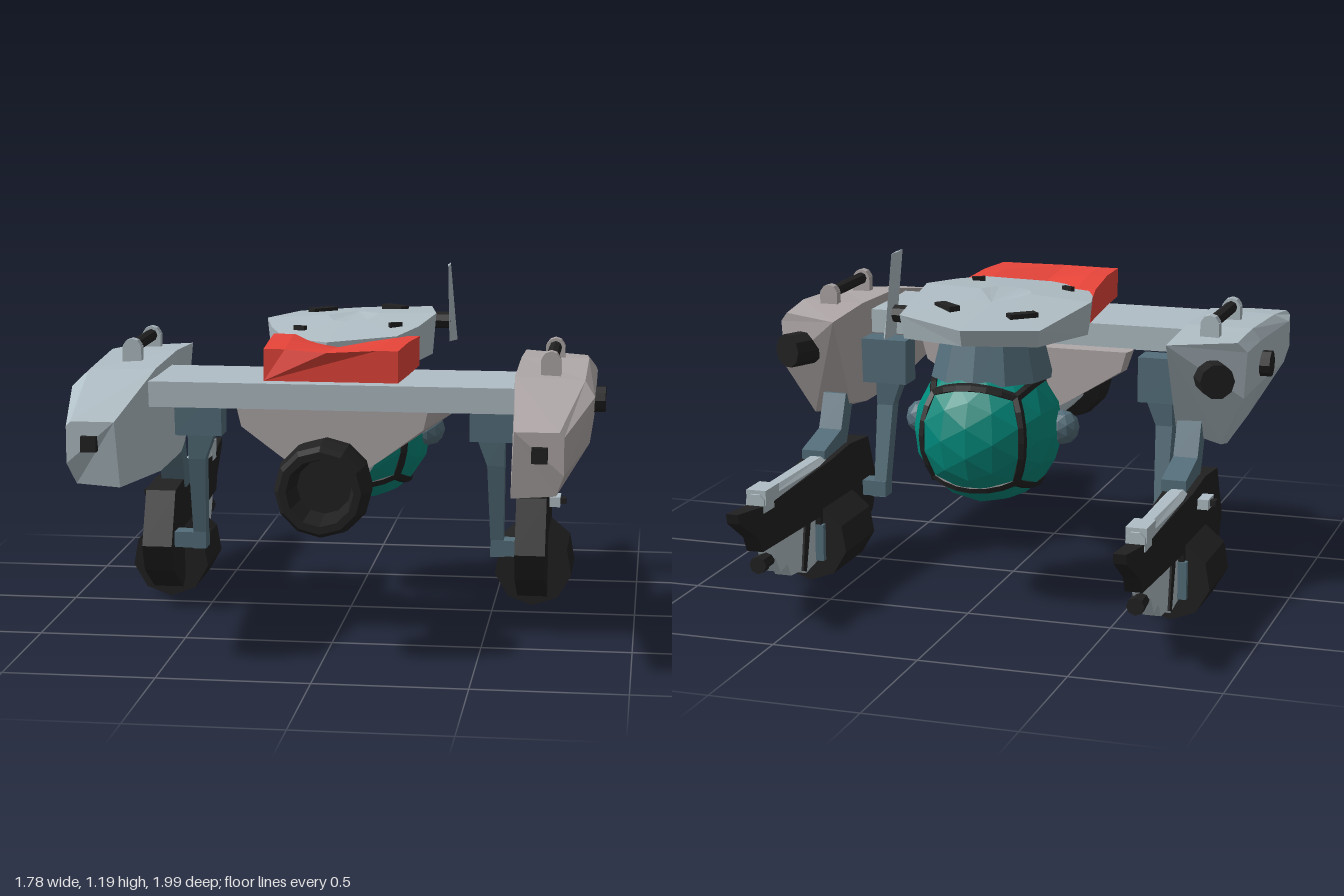
import * as THREE from 'three';

const mat = (color, side = THREE.FrontSide) =>
  new THREE.MeshStandardMaterial({ color, flatShading: true, side });

const M = {
  light: mat(0xb0bec5), warm: mat(0xb0a8a8), dark: mat(0x212121), slate: mat(0x546e7a),
  teal: mat(0x00897b), red: mat(0xe8453a), darkOpen: mat(0x212121, THREE.DoubleSide),
};

function add(parent, name, geo, material, x = 0, y = 0, z = 0) {
  const m = new THREE.Mesh(geo, material);
  m.name = name;
  m.position.set(x, y, z);
  parent.add(m);
  return m;
}
const box = (w, h, d) => new THREE.BoxGeometry(w, h, d);
const rod = (r, len, sides = 8, r2 = r) => new THREE.CylinderGeometry(r2, r, len, sides);
const rodX = (r, len, sides = 8) => rod(r, len, sides).rotateZ(Math.PI / 2);
const rodZ = (r, len, sides = 8, r2 = r) => rod(r, len, sides, r2).rotateX(Math.PI / 2);

// Skin a row of equal-length closed sections, cap both ends, face outward
function loft(sections) {
  const n = sections[0].length, pos = sections.flat(2), tri = [];
  for (let s = 0; s < sections.length - 1; s++)
    for (let i = 0; i < n; i++) {
      const a = s * n + i, b = s * n + (i + 1) % n;
      tri.push([a, b, b + n], [a, b + n, a + n]);
    }
  const last = (sections.length - 1) * n;
  for (let i = 1; i < n - 1; i++) tri.push([0, i + 1, i], [last, last + i, last + i + 1]);
  const v = (i) => new THREE.Vector3().fromArray(pos, i * 3);
  let volume = 0;
  for (const [a, b, c] of tri) volume += v(a).dot(v(b).cross(v(c)));
  if (volume < 0) tri.forEach((t) => t.reverse());
  const g = new THREE.BufferGeometry();
  g.setAttribute('position', new THREE.Float32BufferAttribute(pos, 3));
  g.setIndex(tri.flat());
  g.computeVertexNormals();
  return g;
}

// Extrude a [z, y] outline across x, optionally narrowing toward the rear
function slab(outline, width, taper) {
  const shape = new THREE.Shape(outline.map(([z, y]) => new THREE.Vector2(z, y)));
  const g = new THREE.ExtrudeGeometry(shape, { depth: width, bevelEnabled: false });
  g.translate(0, 0, -width / 2).rotateY(-Math.PI / 2);
  if (taper) {
    const p = g.attributes.position;
    for (let i = 0; i < p.count; i++) p.setX(i, p.getX(i) * taper(p.getZ(i)));
    g.computeVertexNormals();
  }
  return g;
}

// Side pod with handle and knobs
function sidePod(s) {
  const g = new THREE.Group();
  g.name = s > 0 ? 'leftPod' : 'rightPod';
  const body = s > 0 ? M.warm : M.light;
  const sections = [
    [[.60, .905, -.19], [.82, .905, -.08], [.85, .87, -.06], [.84, .71, -.06], [.75, .53, 0], [.60, .58, -.03]],
    [[.60, .92, .1], [.83, .92, .1], [.86, .88, .1], [.85, .72, .1], [.75, .51, .1], [.59, .56, .1]],
    [[.60, .91, .46], [.83, .90, .46], [.865, .86, .55], [.85, .71, .55], [.75, .535, .45], [.59, .56, .45]],
    [[.63, .815, .97], [.77, .815, .97], [.785, .80, .97], [.785, .68, .97], [.76, .61, .94], [.62, .60, .94]],
  ];
  add(g, 'podBody', loft(sections.map((q) => q.map(([x, y, z]) => [x * s, y, z]))), body);
  add(g, 'frontSensor', box(.05, .05, .04), M.dark, .71 * s, .745, .97);
  add(g, 'sideKnob', rodX(.045, .08, 10), M.dark, .85 * s, .79, .155);
  const knob = add(g, 'rearKnob', rodX(.06, .12, 10), M.dark, .75 * s, .79, -.13);
  knob.rotation.y = s > 0 ? 1.1 : Math.PI - 1.1;
  // grab handle
  const zc = s > 0 ? .235 : .13;
  add(g, 'handleBar', rodZ(.022, .32), M.dark, .715 * s, .955, zc);
  for (const e of [-1, 1]) {
    add(g, 'handlePost', box(.065, .06, .035), body, .715 * s, .93, zc + e * .16);
    add(g, 'handlePostCap', rodZ(.032, .035, 10), body, .715 * s, .955, zc + e * .16);
  }
  if (s < 0) g.position.z = -.015;
  return g;
}

// Strut block, front strut and rear arm carrying the gun
function legs(s) {
  const g = new THREE.Group();
  g.name = s > 0 ? 'leftStruts' : 'rightStruts';
  add(g, 'strutBlock', box(.18, .16, .1), M.slate, .52 * s, .715, .125);
  const ring = (x0, x1, y, z0, z1) =>
    [[x0 * s, y, z0], [x1 * s, y, z0], [x1 * s, y, z1], [x0 * s, y, z1]];
  add(g, 'frontStrut', loft([ring(.45, .55, .66, .09, .17), ring(.49, .55, .55, .1, .16),
    ring(.5, .545, .28, .05, .11), ring(.5, .55, .22, .04, .11)]), M.slate);
  add(g, 'strutFoot', box(.13, .055, .07), M.slate, .565 * s, .25, .075);
  const arm = [[.02, .62], [-.06, .62], [-.11, .50], [-.27, .46], [-.27, .40], [-.08, .40], [-.04, .48]];
  add(g, 'rearArm', slab(arm, .085), M.slate, .65 * s, 0, 0);
  return g;
}

// Gun slung under a pod, local x = 0 at its centre plane
function gun(s) {
  const g = new THREE.Group();
  g.name = s > 0 ? 'leftGun' : 'rightGun';
  const taper = (z) => (z > -.3 ? 1 : THREE.MathUtils.lerp(1, .4, (-.3 - z) / .69));
  const body = [[.10, .42], [.18, .235], [.14, .14], [-.02, .045], [-.06, .07], [-.34, .10], [-.36, .24],
    [-.81, .24], [-.84, .295], [-.975, .38], [-.985, .415], [-.76, .39], [-.25, .42], [-.08, .435]];
  add(g, 'gunBody', slab(body, .105, taper), M.dark);
  const mech = [[-.33, .26], [-.34, .075], [-.45, .06], [-.52, .085], [-.58, .09], [-.61, .14],
    [-.67, .13], [-.71, .19], [-.74, .26]];
  add(g, 'lowerMechanism', slab(mech, .06), M.light);
  add(g, 'mechanismStrap', slab([[-.41, .26], [-.46, .26], [-.49, .08], [-.46, .07]], .075), M.dark);
  add(g, 'topRail', loft([[-.26, .04], [-.8, .032]].map(([z, w]) =>
    [[-w, .37, z], [w, .37, z], [w, .415, z], [w * .5, .432, z], [-w * .5, .432, z], [-w, .415, z]])), M.light);
  add(g, 'rearSight', box(.07, .05, .11), M.light, 0, .42, -.735);
  add(g, 'muzzle', rodZ(.025, .12), M.dark, 0, .185, -.73);
  add(g, 'muzzleRing', rodZ(.03, .04), M.dark, 0, .185, -.77);
  const drum = rod(.137, .275, 9).rotateX(Math.PI / 2);
  add(g, 'drum', drum, M.dark, 0, .137, -.2);
  add(g, 'drumBackPlate', box(.12, .13, .03), M.slate, 0, .145, -.345);
  add(g, 'sideBracket', box(.05, .035, .08), M.light, .065 * s, .365, -.15);
  add(g, 'bracketPin', box(.05, .02, .03), M.dark, .085 * s, .365, -.15);
  g.position.set(s > 0 ? .64 : -.665, s > 0 ? .008 : 0, s > 0 ? 0 : -.015);
  return g;
}

export function createModel() {
  const model = new THREE.Group();
  model.name = 'hoverDrone';
  for (const s of [-1, 1]) model.add(sidePod(s), legs(s), gun(s));

  // Cross beam and hull slung beneath it
  add(model, 'crossBeam', box(1.21, .085, .37), M.light, 0, .84, .365);
  const hull = [[.39, .80], [.37, .73], [.19, .62], [.1, .57]];
  const half = (k, z) => [...hull.map(([x, y]) => [x * k, y, z]),
    ...hull.slice().reverse().map(([x, y]) => [-x * k, y, z])];
  add(model, 'hull', loft([half(.97, .11), half(1, .15), half(.82, .5)]), M.warm);

  // Forward barrel
  add(model, 'barrelSleeve', rodZ(.1, .55, 12), M.light, 0, .57, .345);
  const profile = [[.09, .57], [.15, .61], [.16, .70], [.15, .77], [.135, .795], [.11, .795], [.09, .68], [0, .68]]
    .map(([r, z]) => new THREE.Vector2(r, z));
  add(model, 'barrel', new THREE.LatheGeometry(profile, 12).rotateX(Math.PI / 2), M.darkOpen, 0, .57, 0);

  // Rear ball with bands along the edges of an inscribed cube
  const ball = new THREE.Group();
  ball.name = 'ball';
  ball.position.set(0, .595, -.275);
  model.add(ball);
  add(ball, 'ballShell', new THREE.IcosahedronGeometry(.255, 2), M.teal);
  const arc = Math.acos(1 / 3);
  for (let axis = 0; axis < 3; axis++)
    for (const a of [-1, 1]) for (const b of [-1, 1]) {
      const mid = new THREE.Vector3(), along = new THREE.Vector3();
      mid.setComponent((axis + 1) % 3, a).setComponent((axis + 2) % 3, b).normalize();
      along.setComponent(axis, 1);
      const band = new THREE.TorusGeometry(.245, .018, 6, 6, arc).rotateZ(-arc / 2);
      band.applyMatrix4(new THREE.Matrix4().makeBasis(mid, along, mid.clone().cross(along)));
      add(ball, 'ballBand', band, M.dark);
    }
  for (const s of [-1, 1]) add(ball, 'ballPivot', new THREE.IcosahedronGeometry(.06, 1), M.slate, .25 * s, .01, .04);
  add(model, 'neck', rod(.21, .16, 12, .17), M.slate, 0, .855, -.235);

  // Top plate, gently ridged
  const topY = (x, z) => 1.03 + .05 * x - (z < -.1 ? (-.1 - z) * .07 : (z + .1) * .08);
  const outline = [[-.01, -.6], [.235, -.5], [.29, -.08], [.25, .13], [.19, .28], [-.04, .34],
    [-.195, .25], [-.27, .06], [-.31, -.1], [-.25, -.5]];
  const lower = outline.map(([x, z]) => [x * .96, .9 + Math.max(0, -.1 - z) * .08, z * .97]);
  const upper = outline.map(([x, z]) => [x, topY(x, z), z]);
  const crown = outline.map(([x, z]) => [x * .3, topY(x * .3, z * .3 - .07) + .004, z * .3 - .07]);
  add(model, 'topPlate', loft([lower, upper, crown]), M.light);
  for (const [x, z, w, turn] of [[-.15, -.37, .1, .7], [.115, -.365, .1, -.7], [-.16, .13, .045, -.5], [.17, .13, .045, .5]]) {
    const slot = add(model, 'plateSlot', box(w, .02, w * .4), M.dark, x, topY(x, z) + .006, z);
    slot.rotation.y = turn;
  }

  // Red nose with a dished top
  const nose = (z, w0, w1, yEdge, yMid, zMid) => [[w0, .9, z], [w1, .9, z], [w1, yEdge, z],
    [w1 - .07, yEdge, z], [0, yMid, zMid], [w0 + .07, yEdge, z], [w0, yEdge, z]];
  add(model, 'nose', loft([nose(.1, -.25, .25, .97, .95, .1), nose(.2, -.24, .26, 1.0, .965, .22),
    nose(.42, -.22, .245, 1.01, .985, .42), nose(.6, -.21, .23, 1.005, 1.0, .635)]), M.red);

  // Tail fin on one side
  const fin = (y, z, w, x) => [[x, y, z + .055], [x + w, y, z], [x, y, z - .055], [x - .005, y, z]];
  add(model, 'tailFin', loft([fin(.91, -.375, .025, .315), fin(.97, -.36, .02, .315), fin(1.19, -.305, .004, .315)]), M.light);
  add(model, 'finMount', rodX(.03, .07), M.dark, .285, .985, -.345);
  return model;
}
